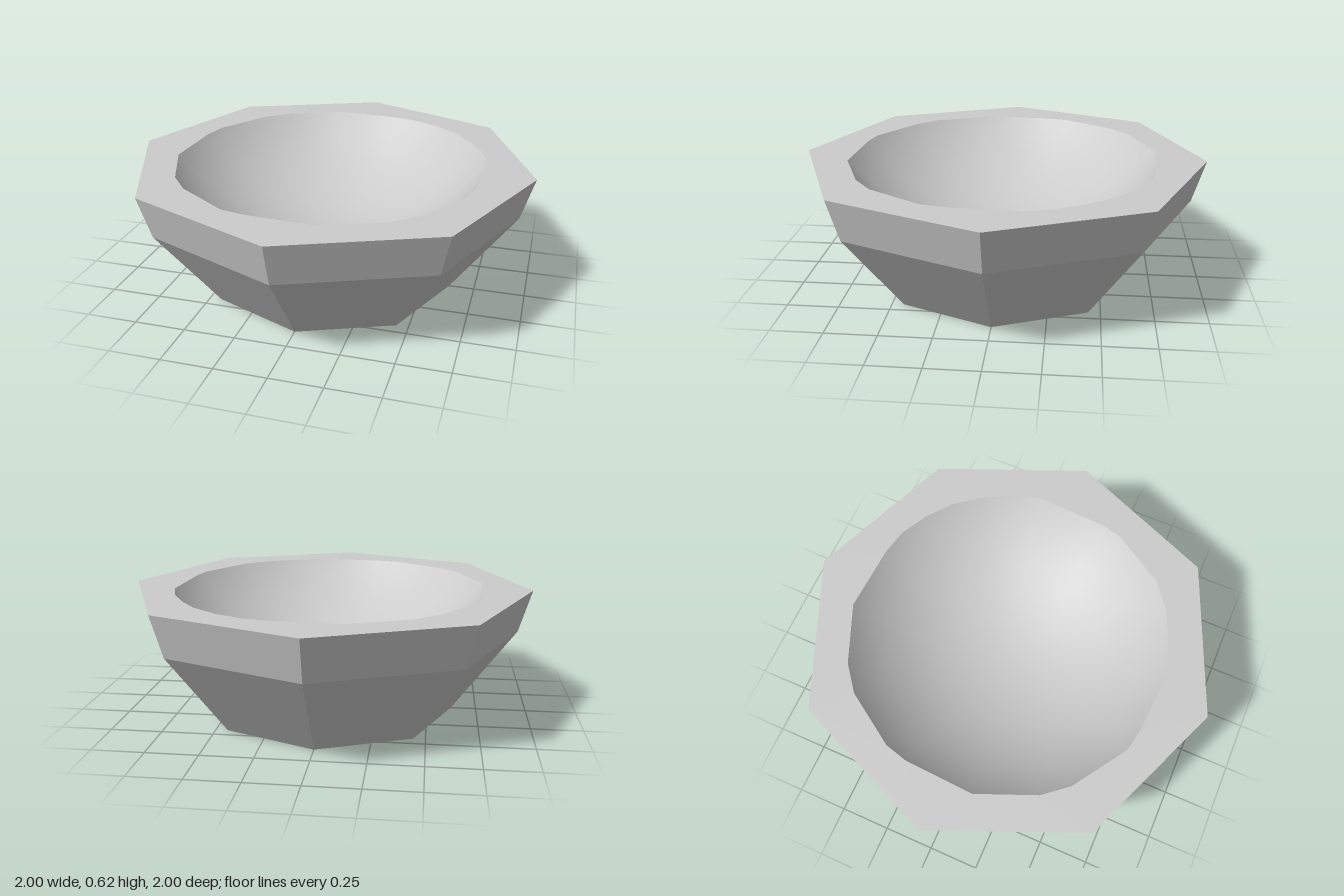
import * as THREE from 'three';

const HEIGHT = 0.625;
const MID = 0.417;
const RIM = 0.772; // hollow radius at the top
const DEPTH = 0.365; // hollow depth
const SPHERE = (RIM * RIM + DEPTH * DEPTH) / (2 * DEPTH);

// Slightly irregular edge of the hollow, as [x, z] going round from +x to -z
const EDGE = [
  [0.757, -0.155], [0.713, -0.3], [0.64, -0.43], [0.55, -0.55], [0.43, -0.645], [0.295, -0.715],
  [0.17, -0.742], [-0.15, -0.76], [-0.43, -0.645], [-0.55, -0.55], [-0.713, -0.3], [-0.742, -0.19],
  [-0.76, 0.15], [-0.645, 0.43], [-0.55, 0.545], [-0.295, 0.715], [-0.18, 0.738], [0.15, 0.757],
  [0.43, 0.642], [0.55, 0.55], [0.713, 0.295], [0.738, 0.19],
];

// Spherical hollow: a lathe whose spokes follow the edge points
function hollowGeometry() {
  const rings = 14;
  const maxAngle = Math.asin(RIM / SPHERE);
  const centreY = HEIGHT - DEPTH + SPHERE;
  const profile = [];
  for (let j = 0; j <= rings; j++) {
    const a = maxAngle * (1 - j / rings);
    profile.push(new THREE.Vector2(SPHERE * Math.sin(a), centreY - SPHERE * Math.cos(a)));
  }
  const geometry = new THREE.LatheGeometry(profile, EDGE.length);
  const pos = geometry.attributes.position;
  const normal = geometry.attributes.normal;
  const n = new THREE.Vector3();
  for (let v = 0; v < pos.count; v++) {
    const j = v % (rings + 1);
    const [x, z] = EDGE[Math.floor(v / (rings + 1)) % EDGE.length];
    // the top ring meets the cut edge exactly, the others are round
    const scale = j === 0 ? 1 : profile[j].x / Math.hypot(x, z);
    pos.setXYZ(v, x * scale, profile[j].y, z * scale);
    n.set(-pos.getX(v), centreY - pos.getY(v), -pos.getZ(v)).normalize();
    normal.setXYZ(v, n.x, n.y, n.z);
  }
  return geometry;
}

export function createModel() {
  const group = new THREE.Group();
  group.name = 'bowl';
  const faceted = new THREE.MeshStandardMaterial({ color: 0xcccccc, flatShading: true });
  const smooth = new THREE.MeshStandardMaterial({ color: 0xcccccc, side: THREE.DoubleSide });

  const add = (name, geometry, material, y = 0) => {
    const mesh = new THREE.Mesh(geometry, material);
    mesh.name = name;
    mesh.position.y = y;
    group.add(mesh);
    return mesh;
  };

  // Octagonal outside in two tiers
  add('lowerWall', new THREE.CylinderGeometry(0.9375, 0.625, MID, 8, 1, true), faceted, MID / 2);
  add('upperWall', new THREE.CylinderGeometry(1, 0.9375, HEIGHT - MID, 8, 1, true), faceted, (HEIGHT + MID) / 2);

  // Flat underside
  const base = add('base', new THREE.CircleGeometry(0.625, 8), faceted);
  base.rotation.x = Math.PI / 2;

  // Flat rim between the octagon and the hollow
  const outline = new THREE.Shape();
  for (let i = 0; i < 8; i++) {
    const a = (i * Math.PI) / 4;
    if (i === 0) outline.moveTo(1, 0);
    else outline.lineTo(Math.cos(a), Math.sin(a));
  }
  outline.closePath();
  outline.holes.push(new THREE.Path(EDGE.map(([x, z]) => new THREE.Vector2(x, -z))));
  const rim = add('rim', new THREE.ShapeGeometry(outline), faceted, HEIGHT);
  rim.rotation.x = -Math.PI / 2;

  add('hollow', hollowGeometry(), smooth);
  return group;
}
